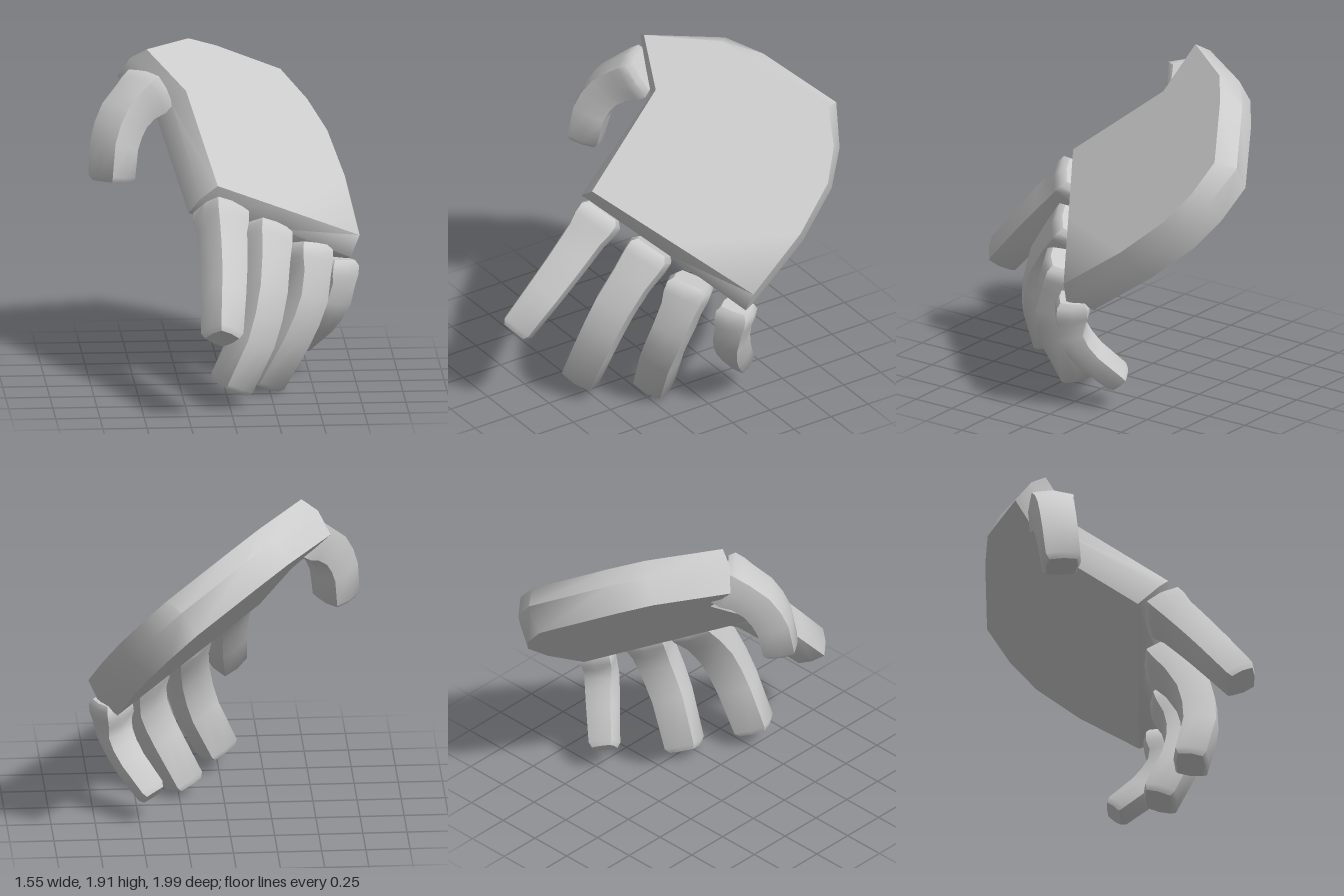
import * as THREE from 'three';
import { toCreasedNormals } from 'three/addons/utils/BufferGeometryUtils.js';

const V = (x, y, z) => new THREE.Vector3(x, y, z);
const material = new THREE.MeshStandardMaterial({ color: 0xcccccc });

// Hand frame: U runs from thumb side to little finger, W to the wrist, N out of the back.
const ORIGIN = V(-0.06, 1.25, 0.42);
const U = V(0.77, -0.40, -0.495).normalize();
const N = V(0.61, 0.69, 0.39).cross(U).cross(U).negate().normalize();
const W = N.clone().cross(U);
const place = (u, w, n) => ORIGIN.clone().addScaledVector(U, u).addScaledVector(W, w).addScaledVector(N, n);

// Closed skin through equal rings; each ring runs counter-clockwise about the loft direction.
function loft(rings, outline, crease) {
  const pos = [], count = outline.length;
  const tri = (...pts) => pts.forEach((p) => pos.push(p.x, p.y, p.z));
  for (let r = 0; r + 1 < rings.length; r++) {
    for (let i = 0; i < count; i++) {
      const j = (i + 1) % count, a = rings[r], b = rings[r + 1];
      tri(a[i], a[j], b[j]);
      tri(a[i], b[j], b[i]);
    }
  }
  const first = rings[0], last = rings[rings.length - 1];
  for (const [a, b, c] of THREE.ShapeUtils.triangulateShape(outline, [])) {
    tri(first[a], first[c], first[b]);
    tri(last[a], last[b], last[c]);
  }
  const geo = new THREE.BufferGeometry();
  geo.setAttribute('position', new THREE.Float32BufferAttribute(pos, 3));
  return toCreasedNormals(geo, crease);
}

// Palm slab: [u, w, bulge in u, bulge in w] around the edge, bulging at mid thickness.
function palm() {
  const edge = [
    [0, 0, -0.05, -0.03], [0.55, 0, 0, -0.05], [1.09, 0, 0, -0.08], [1.12, 0.44, 0.02, 0],
    [1.09, 0.77, 0.02, 0.01], [1.0, 0.97, 0.02, 0.03], [0.85, 1.14, 0.01, 0.07],
    [0.36, 1.15, 0, 0.07], [0.14, 1.13, -0.01, 0.05], [-0.25, 0.92, -0.03, 0.01], [-0.02, 0.69, -0.02, -0.02],
  ];
  const ring = (n, k) => edge.map(([u, w, du, dw]) => place(u + du * k, w + dw * k, n));
  const outline = edge.map(([u, w]) => new THREE.Vector2(u, w));
  return loft([ring(-0.26, 0), ring(-0.11, 1), ring(0, 0)], outline, 0.95);
}

// Finger: softly bulged square section swept along joints, with knuckle flare and bevelled tip.
const SECTION = [
  [0.54, 0], [0.47, 0.47], [0, 0.54], [-0.47, 0.47], [-0.54, 0], [-0.47, -0.47], [0, -0.54], [0.47, -0.47],
];
function finger(joints, across, base, tip) {
  const curve = new THREE.CatmullRomCurve3(joints.map((p) => V(...p)));
  const ring = (t, slide, scale) => {
    const d = curve.getTangent(t);
    const side = across.clone().addScaledVector(d, -across.dot(d)).normalize();
    const depth = d.clone().cross(side);
    const centre = curve.getPoint(t).addScaledVector(d, slide);
    const w = THREE.MathUtils.lerp(base[0], tip[0], t) * scale;
    const h = THREE.MathUtils.lerp(base[1], tip[1], t) * scale;
    return SECTION.map(([a, b]) => centre.clone().addScaledVector(side, a * w).addScaledVector(depth, b * h));
  };
  const rings = [
    ring(0, -0.04, 0.85), ring(0, -0.01, 1.08), ring(0, 0.05, 1.08), ring(0.18, 0, 1),
    ring(0.36, 0, 1), ring(0.52, 0, 1), ring(0.68, 0, 1),
    ring(1, -0.03, 1), ring(1, 0, 0.8),
  ];
  return loft(rings, SECTION.map(([a, b]) => new THREE.Vector2(a, b)), 0.8);
}

export function createModel() {
  const hand = new THREE.Group();
  hand.name = 'hand';
  const add = (name, geo) => {
    const mesh = new THREE.Mesh(geo, material);
    mesh.name = name;
    hand.add(mesh);
  };

  add('palm', palm());

  add('indexFinger', finger(
    [[-0.04, 1.08, 0.38], [-0.04, 0.82, 0.63], [-0.07, 0.49, 0.93]], U, [0.23, 0.21], [0.18, 0.18]));
  add('middleFinger', finger(
    [[0.22, 0.92, 0.21], [0.2, 0.66, 0.41], [0.13, 0.38, 0.51], [0.0, 0.1, 0.53]], U, [0.23, 0.21], [0.20, 0.19]));
  add('ringFinger', finger(
    [[0.46, 0.78, 0.1], [0.45, 0.56, 0.19], [0.36, 0.33, 0.22], [0.21, 0.04, 0.18]], U, [0.22, 0.21], [0.19, 0.19]));
  add('littleFinger', finger(
    [[0.65, 0.65, -0.09], [0.63, 0.48, -0.07], [0.55, 0.32, -0.14], [0.42, 0.16, -0.26]], U, [0.18, 0.17], [0.15, 0.13]));

  // Thumb, turned across the palm
  add('thumb', finger(
    [[-0.41, 1.68, -0.14], [-0.55, 1.57, -0.03], [-0.62, 1.41, 0.04], [-0.64, 1.2, 0.08]],
    V(0.64, 0, 0.77), [0.23, 0.22], [0.21, 0.19]));

  return hand;
}
